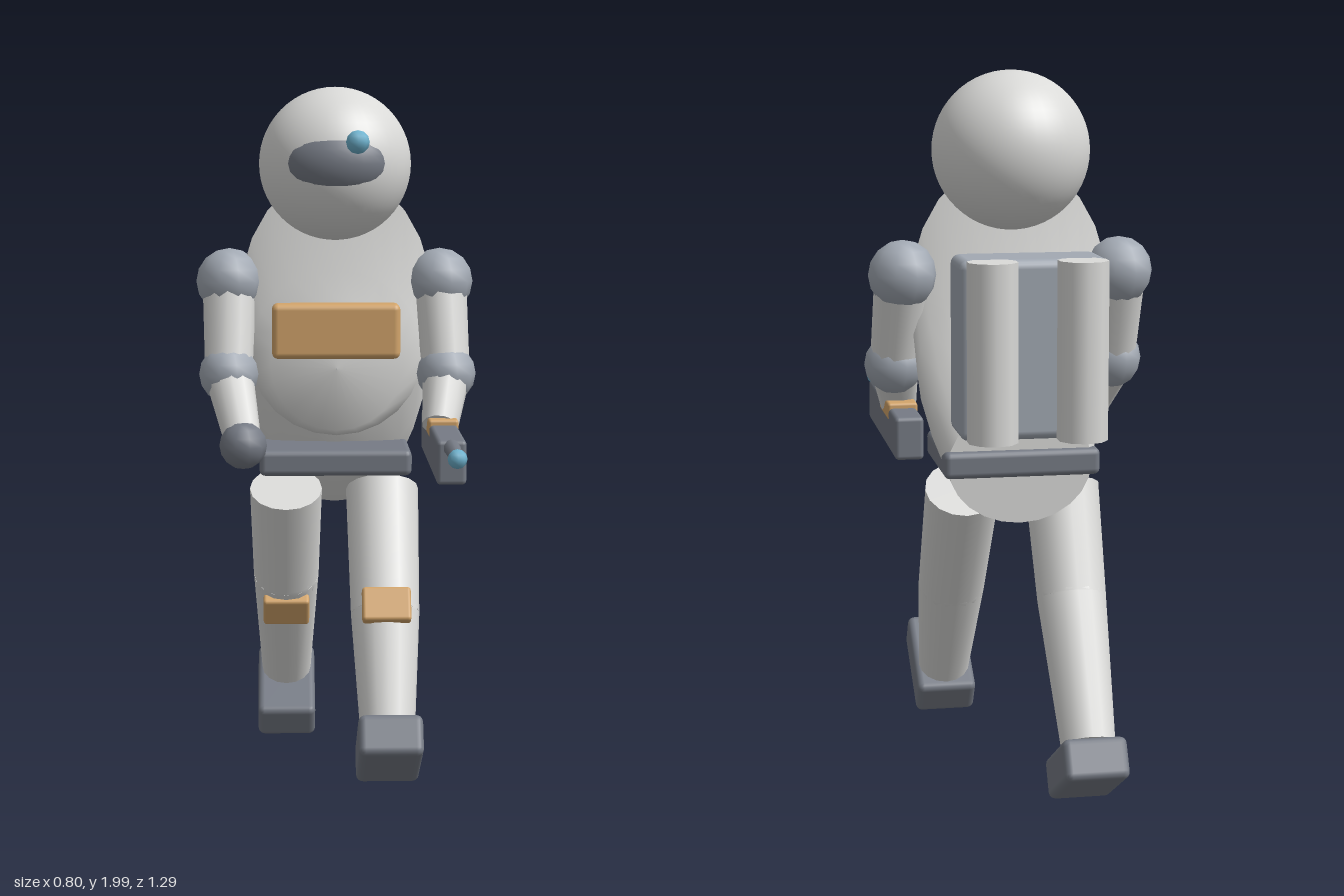
import * as THREE from 'three';
import { RoundedBoxGeometry } from 'three/addons/geometries/RoundedBoxGeometry.js';

const V = (p) => new THREE.Vector3(...p);

export function createModel() {
  const group = new THREE.Group();
  const mat = (name, color) => {
    const m = new THREE.MeshStandardMaterial({ color });
    m.name = name;
    return m;
  };
  const suit = mat('suit white', 0xdadad8);
  const joint = mat('joint grey', 0xa2a9b3);
  const dark = mat('dark grey', 0x767b85);
  const tan = mat('tan panel', 0xd3a56b);
  const blue = mat('blue light', 0x6fb3cf);

  const add = (name, geo, material, pos = [0, 0, 0], rx = 0) => {
    const m = new THREE.Mesh(geo, material);
    m.name = name;
    m.position.set(...pos);
    m.rotation.x = rx;
    group.add(m);
    return m;
  };
  const box = (name, size, pos, material, rx = 0, r = 0.018) =>
    add(name, new RoundedBoxGeometry(...size, 2, r), material, pos, rx);
  const ball = (name, r, pos, material, w = 8, h = 6) =>
    add(name, new THREE.SphereGeometry(r, w, h), material, pos);
  // Tapered limb from point a to point b
  const limb = (name, a, b, ra, rb, material, sides = 12) => {
    const d = V(b).sub(V(a));
    const m = add(name, new THREE.CylinderGeometry(rb, ra, d.length(), sides), material);
    m.position.copy(V(a).add(V(b)).multiplyScalar(0.5));
    m.quaternion.setFromUnitVectors(new THREE.Vector3(0, 1, 0), d.normalize());
    return m;
  };

  // Torso: upright elliptical rings lofted from back to front
  // [z, centre y, half width, half height]; doubled rings keep the caps crisp
  const rings = [
    [-0.28, 0.935, 0.001, 0.001], [-0.28, 0.935, 0.2, 0.165], [-0.28, 0.935, 0.2, 0.165],
    [-0.2, 1.06, 0.24, 0.22], [-0.15, 1.17, 0.265, 0.27], [-0.11, 1.38, 0.28, 0.38],
    [-0.11, 1.38, 0.28, 0.38], [-0.075, 1.24, 0.25, 0.24], [-0.035, 1.21, 0.19, 0.19],
    [-0.02, 1.2, 0.001, 0.001],
  ];
  const n = 24, pos = [], idx = [];
  rings.forEach(([z, cy, rx, ry], k) => {
    for (let i = 0; i < n; i++) {
      const t = (i / n) * Math.PI * 2;
      pos.push(rx * Math.cos(t), cy + ry * Math.sin(t), z);
      if (k === rings.length - 1) continue;
      const a = k * n + i, b = k * n + (i + 1) % n;
      idx.push(a, b, a + n, b, b + n, a + n);
    }
  });
  const torso = new THREE.BufferGeometry();
  torso.setAttribute('position', new THREE.Float32BufferAttribute(pos, 3));
  torso.setIndex(idx);
  torso.computeVertexNormals();
  add('torso', torso, suit);

  // Helmet, visor and lamp
  ball('helmet', 0.218, [-0.003, 1.782, -0.112], suit, 40, 28);
  ball('visor', 1, [-0.003, 1.785, 0.018], dark, 24, 16).scale.set(0.15, 0.107, 0.097);
  ball('helmetLamp', 0.033, [0.055, 1.845, 0.105], blue);

  // Chest panel, belt, backpack
  box('chestPanel', [0.36, 0.155, 0.075], [-0.005, 1.32, 0.082], tan);
  box('belt', [0.435, 0.075, 0.36], [-0.005, 0.938, -0.12], dark);
  box('backpack', [0.4, 0.48, 0.195], [-0.005, 1.28, -0.38], joint, 0, 0.025);
  for (const x of [-0.125, 0.115]) {
    add('tank', new THREE.CylinderGeometry(0.068, 0.068, 0.475, 10), suit, [x, 1.282, -0.505]);
  }

  // Arms
  const arms = [
    { side: 'right', shoulder: [-0.308, 1.445, -0.12], elbow: [-0.31, 1.185, -0.035], wrist: [-0.268, 1.01, 0.1] },
    { side: 'left', shoulder: [0.3, 1.445, -0.12], elbow: [0.315, 1.185, -0.035], wrist: [0.29, 1.05, 0.08] },
  ];
  for (const { side, shoulder, elbow, wrist } of arms) {
    ball(side + 'Shoulder', 0.096, shoulder, joint, 10, 8);
    limb(side + 'UpperArm', shoulder, elbow, 0.078, 0.068, suit);
    ball(side + 'Elbow', 0.085, elbow, joint, 10, 8);
    limb(side + 'Forearm', elbow, wrist, 0.07, 0.052, suit);
  }
  ball('rightHand', 0.067, [-0.267, 1.0, 0.115], dark, 10, 8);

  // Hand-held tool
  box('toolBody', [0.08, 0.12, 0.645], [0.295, 1.0, 0.12], dark, 0, 0.012);
  box('toolGrip', [0.084, 0.05, 0.21], [0.295, 1.05, 0.045], tan, 0, 0.008);
  limb('toolBarrel', [0.295, 1.04, 0.43], [0.295, 1.04, 0.62], 0.023, 0.018, dark, 10);
  ball('toolTip', 0.026, [0.295, 1.04, 0.624], blue);

  // Striding legs with knee pads and boots
  const legs = [
    { side: 'left', x: 0.135, hip: [0.835, -0.115], knee: [0.51, 0.1], ankle: [0.2, 0.275],
      pad: [0.553, 0.18], padTilt: -0.55, boot: [0.185, 0.345], bootTilt: -0.57 },
    { side: 'right', x: -0.147, hip: [0.835, -0.13], knee: [0.55, -0.275], ankle: [0.2, -0.505],
      pad: [0.445, -0.24], padTilt: 0.57, boot: [0.127, -0.495], bootTilt: 0.53 },
  ];
  for (const l of legs) {
    const at = (p) => [l.x, ...p];
    limb(l.side + 'Thigh', at(l.hip), at(l.knee), 0.106, 0.098, suit, 16);
    ball(l.side + 'Knee', 0.098, at(l.knee), suit, 16, 12);
    limb(l.side + 'Shin', at(l.knee), at(l.ankle), 0.098, 0.076, suit, 16);
    box(l.side + 'KneePad', [0.138, 0.1, 0.04], at(l.pad), tan, l.padTilt, 0.01);
    box(l.side + 'Boot', [0.177, 0.115, 0.295], at(l.boot), dark, l.bootTilt, 0.02);
  }
  return group;
}
